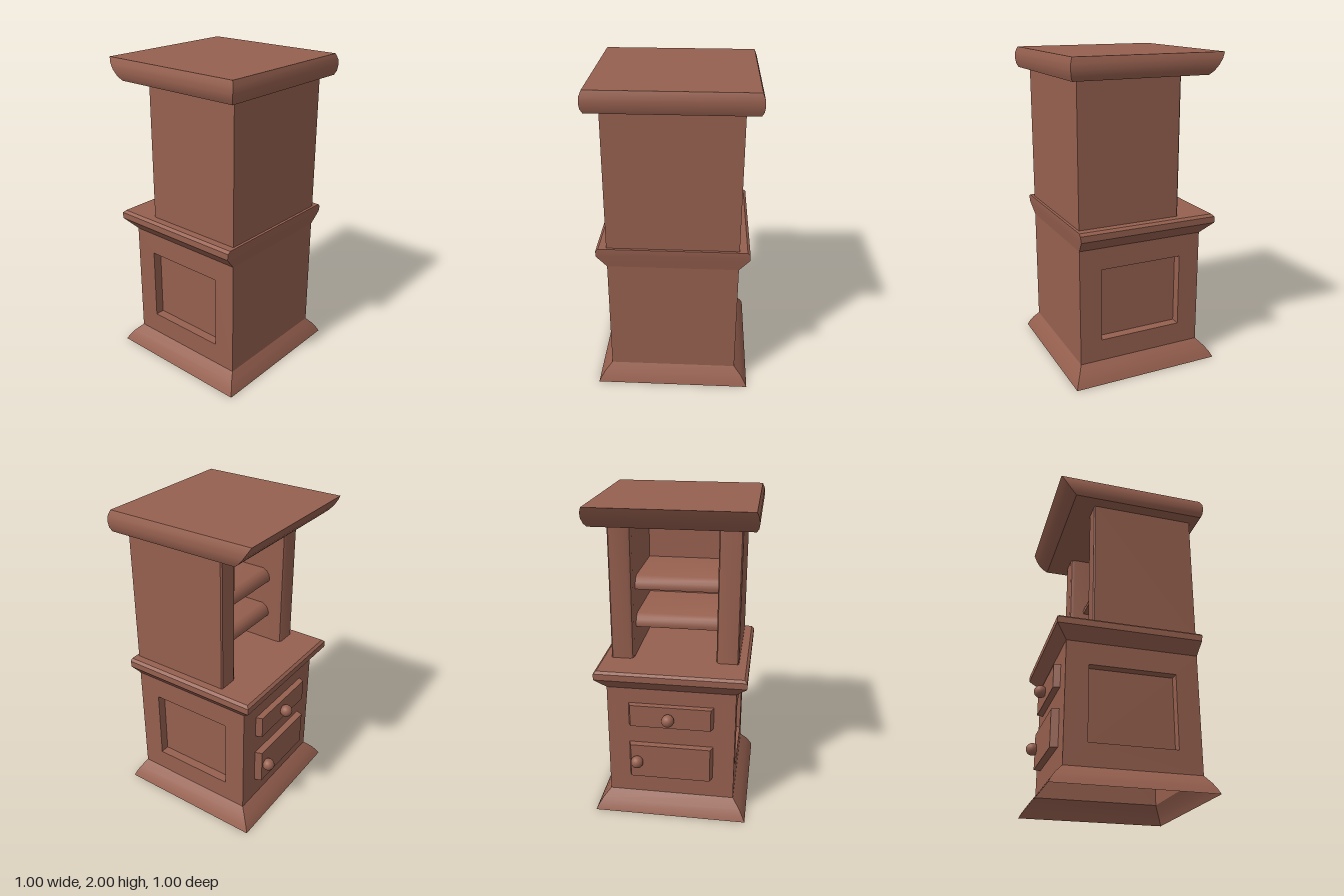
import * as THREE from 'three';
import { toCreasedNormals } from 'three/addons/utils/BufferGeometryUtils.js';

// Rectangular moulding from rings [y, halfWidth, zBack, zFront], bottom to top
function moulding(rings, capTop, capBottom) {
  const pos = [], idx = [];
  for (const [y, x, z0, z1] of rings) pos.push(-x, y, z1, x, y, z1, x, y, z0, -x, y, z0);
  for (let r = 0; r < rings.length - 1; r++) {
    for (let i = 0; i < 4; i++) {
      const a = r * 4 + i, b = r * 4 + (i + 1) % 4;
      idx.push(a, b, b + 4, a, b + 4, a + 4);
    }
  }
  const t = (rings.length - 1) * 4;
  if (capTop) idx.push(t, t + 1, t + 2, t, t + 2, t + 3);
  if (capBottom) idx.push(0, 2, 1, 0, 3, 2);
  const g = new THREE.BufferGeometry();
  g.setAttribute('position', new THREE.Float32BufferAttribute(pos, 3));
  g.setIndex(idx);
  return toCreasedNormals(g, 0.6);
}

function polygon(points) {
  return new THREE.Shape(points.map(([x, y]) => new THREE.Vector2(x, y)));
}

export function createModel() {
  const group = new THREE.Group();
  const wood = new THREE.MeshStandardMaterial({ color: 0x96604f, side: THREE.DoubleSide });
  wood.name = 'brown wood';

  function add(name, geometry, x = 0, y = 0, z = 0) {
    const mesh = new THREE.Mesh(geometry, wood);
    mesh.name = name;
    mesh.position.set(x, y, z);
    group.add(mesh);
    return mesh;
  }

  // Flared plinth, open underneath
  add('plinth', moulding([
    [0, 0.49, -0.48, 0.495], [0.03, 0.475, -0.465, 0.483],
    [0.07, 0.45, -0.437, 0.463], [0.12, 0.405, -0.39, 0.433],
  ]));

  // Hollow lower cabinet
  const bodyW = 0.81, bodyH = 0.75, bodyY = 0.495;
  add('cabinetPlainWall', new THREE.PlaneGeometry(bodyW, bodyH), 0, bodyY, 0.433);
  add('cabinetDoorWall', new THREE.PlaneGeometry(bodyW, bodyH).rotateY(Math.PI), 0, bodyY, -0.39);

  // Side walls with a sunken panel each
  const wall = polygon([[-0.433, 0.12], [0.39, 0.12], [0.39, 0.87], [-0.433, 0.87]]);
  wall.holes.push(polygon([[-0.29, 0.26], [-0.29, 0.73], [0.25, 0.73], [0.25, 0.26]]));
  const wallGeo = new THREE.ShapeGeometry(wall).rotateY(Math.PI / 2);
  const recessGeo = new THREE.BoxGeometry(0.06, 0.47, 0.54);
  recessGeo.setIndex(Array.from(recessGeo.index.array).slice(6)); // open outer face
  recessGeo.clearGroups();
  for (const s of [1, -1]) {
    const side = s > 0 ? 'left' : 'right';
    add(side + 'SideWall', wallGeo, s * 0.405).scale.x = s;
    add(side + 'SunkenPanel', recessGeo, s * 0.375, 0.495, 0.02).scale.x = s;
  }

  // Drawer and door fronts with bevelled ends, and their knobs
  function frontPanel(name, y0, y1, depth, knobX, knobY) {
    const g = new THREE.BoxGeometry(0.54, y1 - y0, depth);
    const p = g.attributes.position;
    for (let i = 0; i < p.count; i++) if (p.getZ(i) < 0) p.setX(i, p.getX(i) * 0.94);
    g.computeVertexNormals();
    add(name, g, 0, (y0 + y1) / 2, -0.39 - depth / 2);
    add(name + 'Knob', new THREE.SphereGeometry(0.04, 16, 12), knobX, knobY, -0.458);
  }
  frontPanel('drawer', 0.625, 0.77, 0.04, 0.01, 0.695);
  frontPanel('door', 0.26, 0.49, 0.045, 0.21, 0.38);

  // Worktop moulding
  add('worktop', moulding([
    [0.87, 0.405, -0.39, 0.433], [0.945, 0.47, -0.46, 0.445],
    [0.985, 0.47, -0.46, 0.45], [1.0, 0.453, -0.445, 0.45],
  ], true));

  // Upper hutch: U-shaped plan, posts eased at the inner edge
  const plan = polygon([
    [-0.405, -0.433], [0.405, -0.433], [0.405, 0.222], [0.397, 0.23],
    [0.285, 0.23], [0.27, 0.222], [0.262, 0.2], [0.262, -0.36],
    [-0.262, -0.36], [-0.262, 0.2], [-0.27, 0.222], [-0.285, 0.23],
    [-0.397, 0.23], [-0.405, 0.222],
  ]);
  const hutch = new THREE.ExtrudeGeometry(plan, { depth: 0.87, bevelEnabled: false });
  add('hutchWalls', toCreasedNormals(hutch.rotateX(-Math.PI / 2), 0.7), 0, 1, 0);

  // Shelves with a rounded-over front edge
  const profile = polygon([
    [-0.365, 0], [0.13, 0], [0.133, 0.02], [0.125, 0.045], [0.11, 0.065], [0.085, 0.08], [-0.365, 0.08],
  ]);
  const shelfGeo = new THREE.ExtrudeGeometry(profile, { depth: 0.53, bevelEnabled: false });
  const shelf = toCreasedNormals(shelfGeo.translate(0, 0, -0.265).rotateY(Math.PI / 2), 0.7);
  add('lowerShelf', shelf, 0, 1.18, 0);
  add('upperShelf', shelf, 0, 1.43, 0);

  // Cornice, rounded on three sides and swept back above the shelves
  add('cornice', moulding([
    [1.87, 0.482, -0.37, 0.487], [1.895, 0.495, -0.4, 0.497], [1.93, 0.5, -0.43, 0.502],
    [1.965, 0.497, -0.453, 0.5], [2.0, 0.483, -0.473, 0.487],
  ], true, true));

  return group;
}
